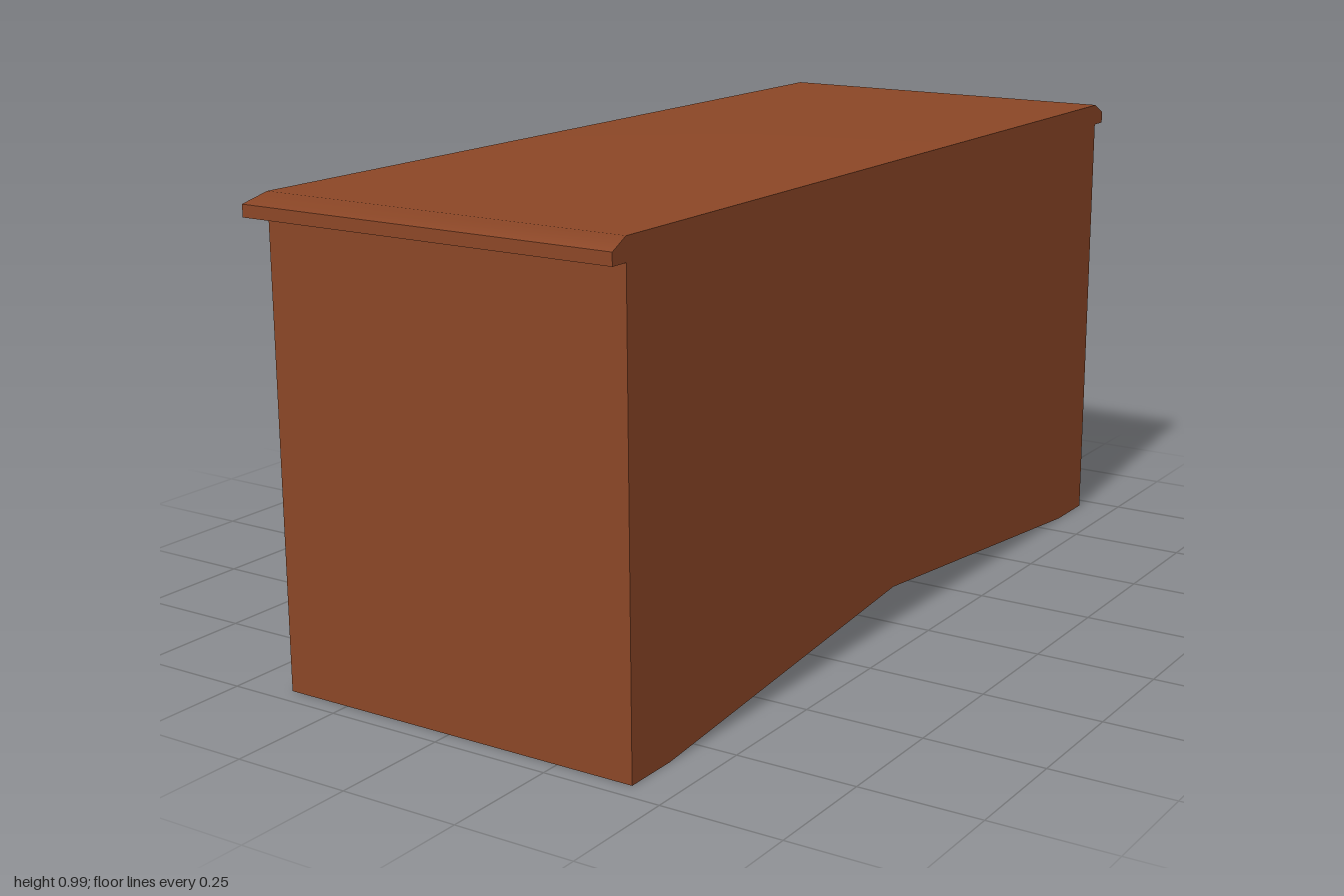
import * as THREE from 'three';

const wood = new THREE.MeshStandardMaterial({ color: 0x8b4626 });
wood.name = 'brown wood';

const BACK = 0.415;    // plain side of the chest
const FACE = -0.391;   // side carrying the drawers
const EDGE = -0.417;   // overhanging edge of the top

function part(name, geometry) {
  const mesh = new THREE.Mesh(geometry, wood);
  mesh.name = name;
  return mesh;
}

function extrude(points, depth) {
  const shape = new THREE.Shape(points.map(([x, y]) => new THREE.Vector2(x, y)));
  return new THREE.ExtrudeGeometry(shape, { depth, bevelEnabled: false });
}

// Carcass with a shallow arched base
function carcass() {
  const outline = [[-0.96, 0], [-0.84, 0], [0, 0.08], [0.84, 0], [0.96, 0], [0.96, 0.945], [-0.96, 0.945]];
  return extrude(outline, BACK - FACE).rotateY(Math.PI / 2).translate(FACE, 0, 0);
}

// Softly shaded bevel on three edges of the top, flush on the plain side
function topBevel() {
  const ring = (x, y, z) => [BACK, y, z, BACK, y, -z, x, y, -z, x, y, z];
  const g = new THREE.BufferGeometry();
  const corners = [...ring(EDGE, 0.965, 1), ...ring(FACE, 0.986, 0.96)];
  g.setAttribute('position', new THREE.Float32BufferAttribute(corners, 3));
  const index = [4, 5, 6, 4, 6, 7];
  for (let i = 1; i < 4; i++) {
    const j = (i + 1) % 4;
    index.push(i, j, 4 + j, i, 4 + j, 4 + i);
  }
  g.setIndex(index);
  g.computeVertexNormals();
  return g;
}

// Upright end strip closing the bevel on the plain side
function topEnd() {
  return extrude([[-1, 0.965], [1, 0.965], [0.96, 0.986], [-0.96, 0.986]], 0.002)
    .rotateY(Math.PI / 2).translate(BACK - 0.002, -0.0002, 0);
}

// Drawer front: panel, finger groove and bevelled pull rail in one profile
function drawerFront(width) {
  const out = -0.411, groove = -0.402;
  return extrude([
    [FACE + 0.003, 0], [out, 0], [out, 0.188], [groove, 0.188], [groove, 0.21],
    [out, 0.21], [out, 0.244], [out + 0.005, 0.248], [FACE + 0.003, 0.248],
  ], width);
}

export function createModel() {
  const model = new THREE.Group();
  model.name = 'chestOfDrawers';
  model.add(part('carcass', carcass()));

  // Overhanging top
  const top = new THREE.Group();
  top.name = 'top';
  const slab = new THREE.BoxGeometry(BACK - EDGE, 0.0248, 2).translate((BACK + EDGE) / 2, 0.9525, 0);
  top.add(part('topSlab', slab), part('topBevel', topBevel()), part('topEnd', topEnd()));
  model.add(top);

  // Two columns of three drawers
  const drawers = new THREE.Group();
  drawers.name = 'drawers';
  const width = 0.89;
  for (const z of [-0.905, 0.015]) {
    for (const y of [0.111, 0.393, 0.676]) {
      const drawer = part('drawerFront', drawerFront(width));
      drawer.position.set(0, y, z);
      drawers.add(drawer);
    }
  }
  model.add(drawers);
  return model;
}
